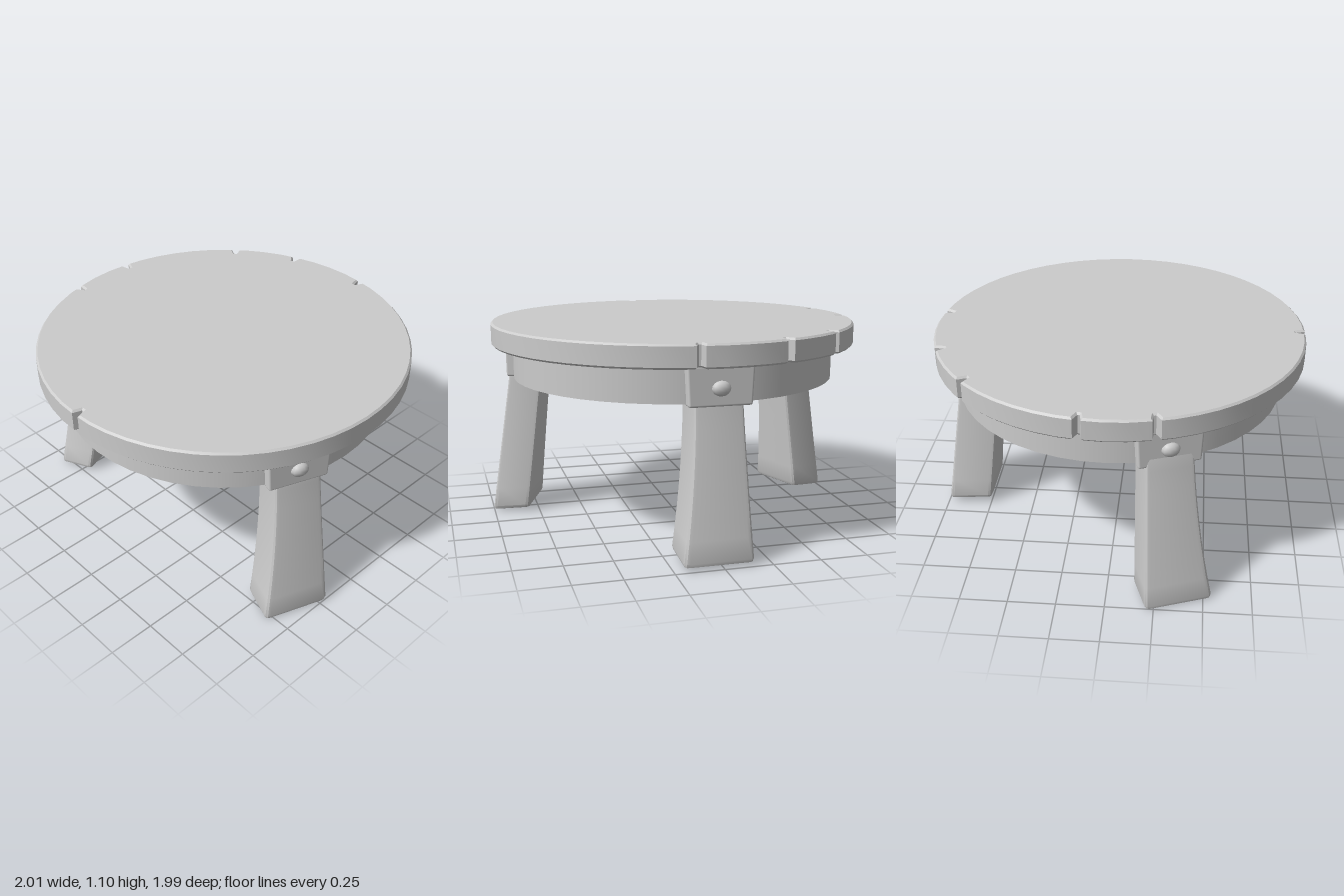
import * as THREE from 'three';
import { toCreasedNormals } from 'three/addons/utils/BufferGeometryUtils.js';
import { RoundedBoxGeometry } from 'three/addons/geometries/RoundedBoxGeometry.js';

const material = new THREE.MeshStandardMaterial({ color: 0xcccccc });

function addMesh(parent, name, geometry) {
  const mesh = new THREE.Mesh(geometry, material);
  mesh.name = name;
  parent.add(mesh);
  return mesh;
}

// Apply a rule to every vertex of a geometry
function deform(geometry, rule) {
  const pos = geometry.attributes.position;
  const v = new THREE.Vector3();
  for (let i = 0; i < pos.count; i++) {
    rule(v.fromBufferAttribute(pos, i));
    pos.setXYZ(i, v.x, v.y, v.z);
  }
  return geometry;
}

// Round slab with split notches around the rim
function tabletopGeometry() {
  const notches = [[0.01, 0.99], [-0.97, 0.25], [-0.98, -0.12], [-0.67, -0.74], [-0.34, -0.93], [0.12, -0.97]]
    .map(([x, z]) => (Math.atan2(-z, x) + Math.PI * 2) % (Math.PI * 2));
  const half = 0.022;
  const rim = [];
  const segments = 56;
  for (let i = 0; i < segments; i++) {
    const a = (i / segments) * Math.PI * 2;
    if (notches.every(n => Math.abs(n - a) > half * 2)) rim.push([a, 0.995]);
  }
  for (const n of notches) {
    rim.push([n - half, 0.993], [n - 0.006, 0.945], [n + 0.006, 0.945], [n + half, 0.993]);
  }
  rim.sort((p, q) => p[0] - q[0]);
  const shape = new THREE.Shape(rim.map(([a, r]) => new THREE.Vector2(r * Math.cos(a), r * Math.sin(a))));
  const bevel = 0.01;
  const geometry = new THREE.ExtrudeGeometry(shape, {
    depth: 0.12 - bevel * 2, bevelEnabled: true, bevelSize: bevel,
    bevelThickness: bevel, bevelOffset: -bevel, bevelSegments: 1,
  });
  geometry.rotateX(-Math.PI / 2).translate(0, 0.985 + bevel, 0);
  return toCreasedNormals(geometry, 0.5);
}

// Flared, outward-leaning leg pointing to -z; drift shifts the foot sideways
function legGeometry({ radius, depthScale, drift, foot }) {
  const w = 0.125, d = 0.11 * depthScale, c = 0.022, bevel = 0.025;
  const shape = new THREE.Shape();
  shape.moveTo(-w + c, -d).lineTo(w - c, -d).quadraticCurveTo(w, -d, w, -d + c);
  shape.lineTo(w, d - c).quadraticCurveTo(w, d, w - c, d);
  shape.lineTo(-w + c, d).quadraticCurveTo(-w, d, -w, d - c);
  shape.lineTo(-w, -d + c).quadraticCurveTo(-w, -d, -w + c, -d);
  const top = 0.9;
  const geometry = new THREE.ExtrudeGeometry(shape, {
    depth: top - bevel * 2, steps: 8, curveSegments: 3, bevelEnabled: true,
    bevelSize: bevel * 0.8, bevelThickness: bevel, bevelOffset: -bevel * 0.8, bevelSegments: 2,
  });
  geometry.rotateX(-Math.PI / 2).translate(0, bevel, 0);
  deform(geometry, v => {
    const s = THREE.MathUtils.clamp(1 - v.y / 0.85, 0, 1);
    const outward = -v.z / d;
    v.x = v.x * (1 + 0.46 * Math.pow(s, 1.6)) + drift * s * s;
    v.z = v.z * (1 + 0.15 * s) - radius - 0.11 * s;
    // Sole dips slightly toward the outside
    v.y += foot + 0.01 * (1 - outward) * s * s;
  });
  return toCreasedNormals(geometry, 0.5);
}

// Tapered block joining the leg to the apron
function bracketGeometry() {
  const geometry = new RoundedBoxGeometry(0.33, 0.2, 0.25, 2, 0.012);
  deform(geometry, v => {
    v.x *= 1 + 0.3 * v.y;
  });
  return geometry.translate(0, 0.888, -0.785);
}

export function createModel() {
  const model = new THREE.Group();
  model.name = 'stool';

  addMesh(model, 'tabletop', tabletopGeometry());
  addMesh(model, 'apron', new THREE.CylinderGeometry(0.88, 0.88, 0.19, 48).translate(0, 0.895, 0));

  // Three legs: back, left front and right front
  const turn = THREE.MathUtils.degToRad(110);
  const legs = [
    { name: 'back', angle: 0, radius: 0.76, depthScale: 1, drift: 0.025, foot: 0.015 },
    { name: 'left', angle: -turn, radius: 0.805, depthScale: 0.85, drift: 0.03, foot: 0 },
    { name: 'right', angle: turn, radius: 0.81, depthScale: 0.87, drift: -0.03, foot: 0 },
  ];
  for (const leg of legs) {
    const group = new THREE.Group();
    group.name = leg.name + 'LegAssembly';
    group.rotation.y = leg.angle;
    addMesh(group, leg.name + 'Leg', legGeometry(leg));
    addMesh(group, leg.name + 'Bracket', bracketGeometry());
    const peg = addMesh(group, leg.name + 'Peg', new THREE.SphereGeometry(1, 10, 8));
    peg.scale.set(0.048, 0.038, 0.03);
    peg.position.set(0, 0.877, -0.91);
    model.add(group);
  }
  return model;
}
